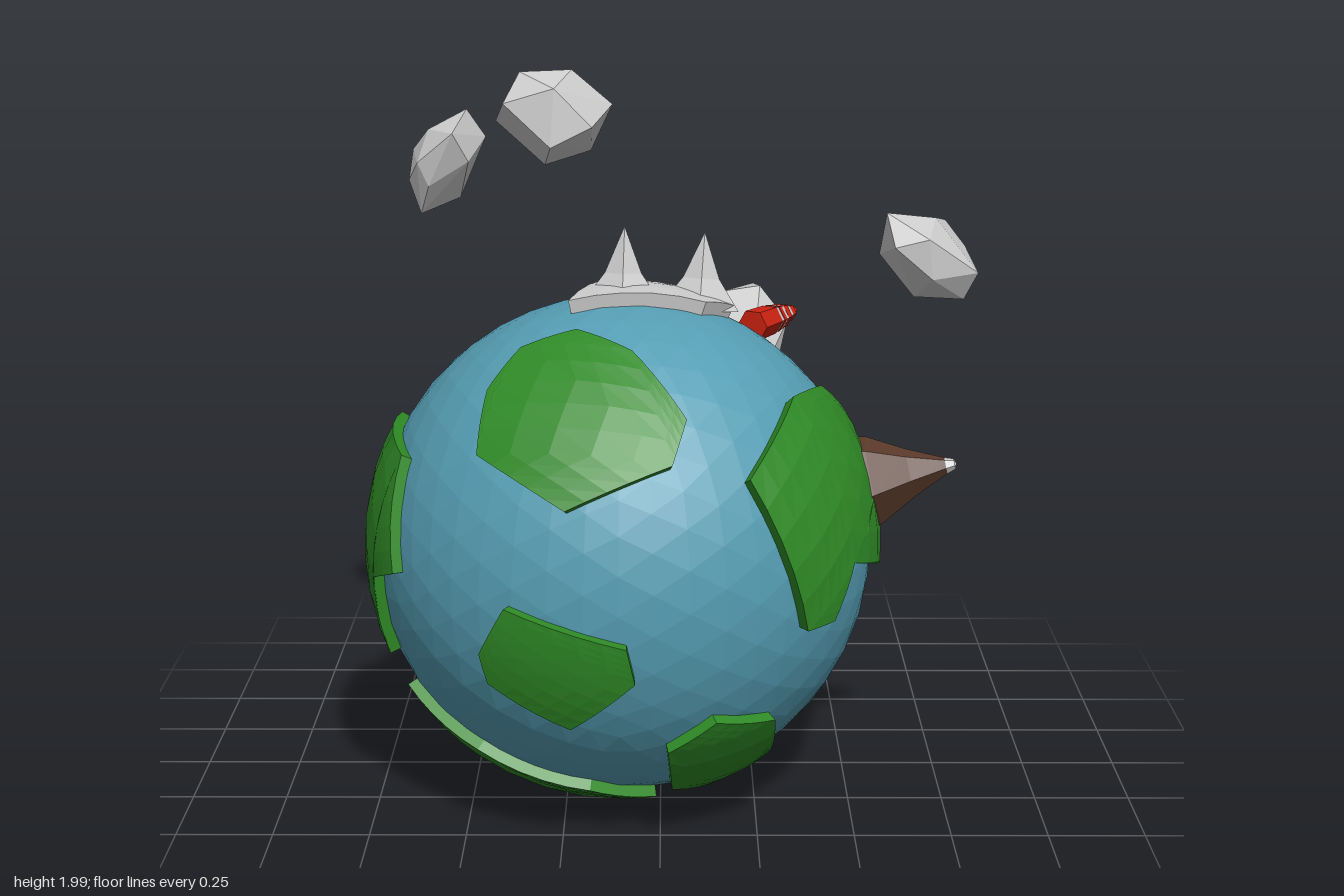
import * as THREE from 'three';
import { ConvexGeometry } from 'three/addons/geometries/ConvexGeometry.js';

const SEA = 0.655, LAND = 0.683;

const mat = (color) => new THREE.MeshStandardMaterial({ color, flatShading: true });
const M = {
  sea: mat(0x559db3), grass: mat(0x2f8a26), rock: mat(0xcccccc),
  earth: mat(0x5a3a2a), red: mat(0xcc2211),
};

function add(parent, name, geometry, material) {
  const mesh = new THREE.Mesh(geometry, material);
  mesh.name = name;
  parent.add(mesh);
  return mesh;
}

// Direction on the globe for outline point (a, b) drawn facing azimuth/elevation (degrees)
function onGlobe(az, el, a, b) {
  const A = az * Math.PI / 180, E = el * Math.PI / 180;
  const h = new THREE.Vector3(Math.sin(A), 0, Math.cos(A));
  const right = new THREE.Vector3(h.z, 0, -h.x);
  const up = h.clone().multiplyScalar(-Math.sin(E)).setY(Math.cos(E));
  const out = h.clone().multiplyScalar(Math.cos(E)).setY(Math.sin(E));
  const depth = Math.sqrt(Math.max(0, LAND * LAND - a * a - b * b));
  return right.multiplyScalar(a).addScaledVector(up, b).addScaledVector(out, depth).normalize();
}

// Curved plate: triangulated outline, subdivided onto the sphere, with a rim wall
function plate(az, el, outline, radius) {
  let pts = outline.map(([a, b]) => new THREE.Vector2(a, b));
  if (THREE.ShapeUtils.isClockWise(pts)) pts = pts.reverse();
  const dirs = pts.map((p) => onGlobe(az, el, p.x, p.y));
  const pos = [], N = 5;
  const tri = (...v) => v.forEach((p) => pos.push(p.x, p.y, p.z));
  for (const [i, j, k] of THREE.ShapeUtils.triangulateShape(pts, [])) {
    const at = (u, v) => new THREE.Vector3()
      .addScaledVector(dirs[i], 1 - (u + v) / N)
      .addScaledVector(dirs[j], u / N)
      .addScaledVector(dirs[k], v / N).setLength(radius);
    for (let u = 0; u < N; u++) {
      for (let v = 0; u + v < N; v++) {
        tri(at(u, v), at(u + 1, v), at(u, v + 1));
        if (u + v < N - 1) tri(at(u + 1, v), at(u + 1, v + 1), at(u, v + 1));
      }
    }
  }
  dirs.forEach((d, i) => {
    const e = dirs[(i + 1) % dirs.length];
    const at = (s, r) => d.clone().lerp(e, s / N).setLength(r);
    for (let s = 0; s < N; s++) {
      const a = at(s, 0.62), b = at(s + 1, 0.62), c = at(s + 1, radius), f = at(s, radius);
      tri(a, b, c);
      tri(a, c, f);
    }
  });
  const g = new THREE.BufferGeometry();
  g.setAttribute('position', new THREE.Float32BufferAttribute(pos, 3));
  g.computeVertexNormals();
  return g;
}

// Faceted solid of revolution standing along a direction
function spire(parent, name, profile, sides, material, base, dir) {
  const g = new THREE.LatheGeometry(profile.map(([r, y]) => new THREE.Vector2(r, y)), sides);
  const mesh = add(parent, name, g, material);
  mesh.position.set(...base);
  mesh.quaternion.setFromUnitVectors(new THREE.Vector3(0, 1, 0), new THREE.Vector3(...dir).normalize());
}

// Boulder: hull of points spread evenly on a ball, jittered, drawn out along an axis, sized to a box
function boulder(size, axis, seed) {
  const random = () => (seed = (seed * 16807) % 2147483647) / 2147483647;
  const long = new THREE.Vector3(...axis).normalize();
  const count = 15, corners = [];
  for (let i = 0; i < count; i++) {
    const y = 1 - (2 * i + 1) / count, turn = i * 2.4 + random() * 0.7;
    const r = Math.sqrt(1 - y * y);
    const p = new THREE.Vector3(r * Math.cos(turn), y, r * Math.sin(turn));
    p.multiplyScalar(0.85 + 0.3 * random());
    corners.push(p.addScaledVector(long, 0.7 * p.dot(long)));
  }
  const g = new ConvexGeometry(corners);
  g.center();
  const box = g.boundingBox.getSize(new THREE.Vector3());
  return g.scale(size[0] / box.x, size[1] / box.y, size[2] / box.z);
}

export function createModel() {
  const model = new THREE.Group();
  model.name = 'lowPolyPlanet';

  // Globe
  const planet = new THREE.Group();
  planet.name = 'planet';
  planet.position.set(-0.1, 0.69, 0.12);
  model.add(planet);
  add(planet, 'ocean', new THREE.IcosahedronGeometry(SEA, 7), M.sea);

  // Continents: facing azimuth, elevation, then outline corners
  const land = (name, az, el, ...outline) =>
    add(planet, name + 'Land', plate(az, el, outline, LAND), M.grass);
  land('northFront', 0, 0, [-.33, .49], [-.25, .58], [-.11, .625], [.03, .59], [.165, .45],
    [.13, .355], [-.13, .255], [-.35, .355]);
  land('frontIsland', 0, 0, [-.345, -.12], [-.28, .01], [.02, -.075], [.04, -.17], [-.12, -.31],
    [-.325, -.2]);
  land('southIsland', 0, 0, [.24, -.305], [.39, -.34], [.385, -.48], [.295, -.595], [.13, -.56],
    [.12, -.39]);
  land('south', 0, -90, [-.56, .2], [-.37, .34], [-.08, .39], [.09, .3], [-.05, -.02], [-.34, -.14]);
  land('southBack', 135, -30, [.36, -.45], [.5, -.22], [.6, -.33], [.39, -.56]);
  land('back', 135, -30, [-.055, .4], [.08, .445], [.24, .39], [.45, -.02], [.45, -.17],
    [-.02, -.35], [-.19, -.1]);
  land('northBack', 215, 20, [-.535, .03], [-.48, .38], [-.4, .47], [-.23, .3], [-.35, .16], [-.44, 0]);
  land('backIsland', 215, 20, [-.21, -.01], [-.16, .13], [.02, .2], [.24, 0], [-.04, -.155]);
  land('west', 270, 0, [-.12, .32], [.26, .3], [.37, .02], [.24, -.03], [.2, -.25], [-.2, -.22],
    [-.18, .015]);
  land('east', 90, 0, [-.52, .307], [-.265, .455], [-.08, .44], [.085, .265], [.22, .275],
    [.285, .04], [.12, -.085], [-.08, -.04], [-.34, .04], [-.41, -.09], [-.49, -.09]);

  // Snowy peaks on top
  const base = [[-.135, -.105], [0, .245], [.235, .23], [.29, .06], [.215, -.05]];
  add(planet, 'peakBase', plate(0, 90, base, 0.69), M.rock);
  const peak = [[.11, 0], [.05, .08], [0, .2]];
  spire(model, 'tallPeak', peak, 5, M.rock, [-.1, 1.325, .085], [.03, 1, -.06]);
  spire(model, 'lowPeak', peak, 5, M.rock, [.1, 1.3, .03], [.08, 1, -.1]);

  // Volcano on the east side
  const vBase = [.54, .855, .14], vDir = [.235, .055, .02];
  spire(model, 'volcano', [[.13, -.06], [.12, .02], [.065, .12], [.022, .215]], 6, M.earth, vBase, vDir);
  spire(model, 'volcanoTip', [[.022, .215], [.014, .238], [0, .243]], 6, M.rock, vBase, vDir);

  // Striped lighthouse: each band starts where the last one ended
  const lighthouse = new THREE.Group();
  lighthouse.name = 'lighthouse';
  model.add(lighthouse);
  const bands = [[.05, .046], [.067, .042], [.085, .042], [.1, .039], [.125, .037],
    [.145, .03], [.17, .026], [.182, .016], [.195, .015]];
  let start = -0.05;
  bands.forEach(([end, r], i) => {
    const profile = [[0, start], [r, start], [r * 0.94, end], [0, end]];
    spire(lighthouse, i % 2 ? 'whiteBand' : 'redBand', profile, 6, i % 2 ? M.rock : M.red,
      [.28, 1.175, -.375], [.5, 0, -.86]);
    start = end;
  });

  // Floating rocks: centre, size, long axis
  const rocks = [
    [[-.245, 1.892, .73], [.27, .215, .215], [1, -.2, -.2]],
    [[-.6, 1.617, -.465], [.215, .295, .205], [.6, 1, .2]],
    [[.657, 1.518, .42], [.235, .215, .26], [1, -.5, -.2]],
    [[.26, 1.085, -.718], [.22, .25, .235], [.2, -.8, .7]],
  ];
  rocks.forEach(([center, size, axis], i) => {
    add(model, 'floatingRock' + (i + 1), boulder(size, axis, 101 + i * 977), M.rock).position.set(...center);
  });

  return model;
}
